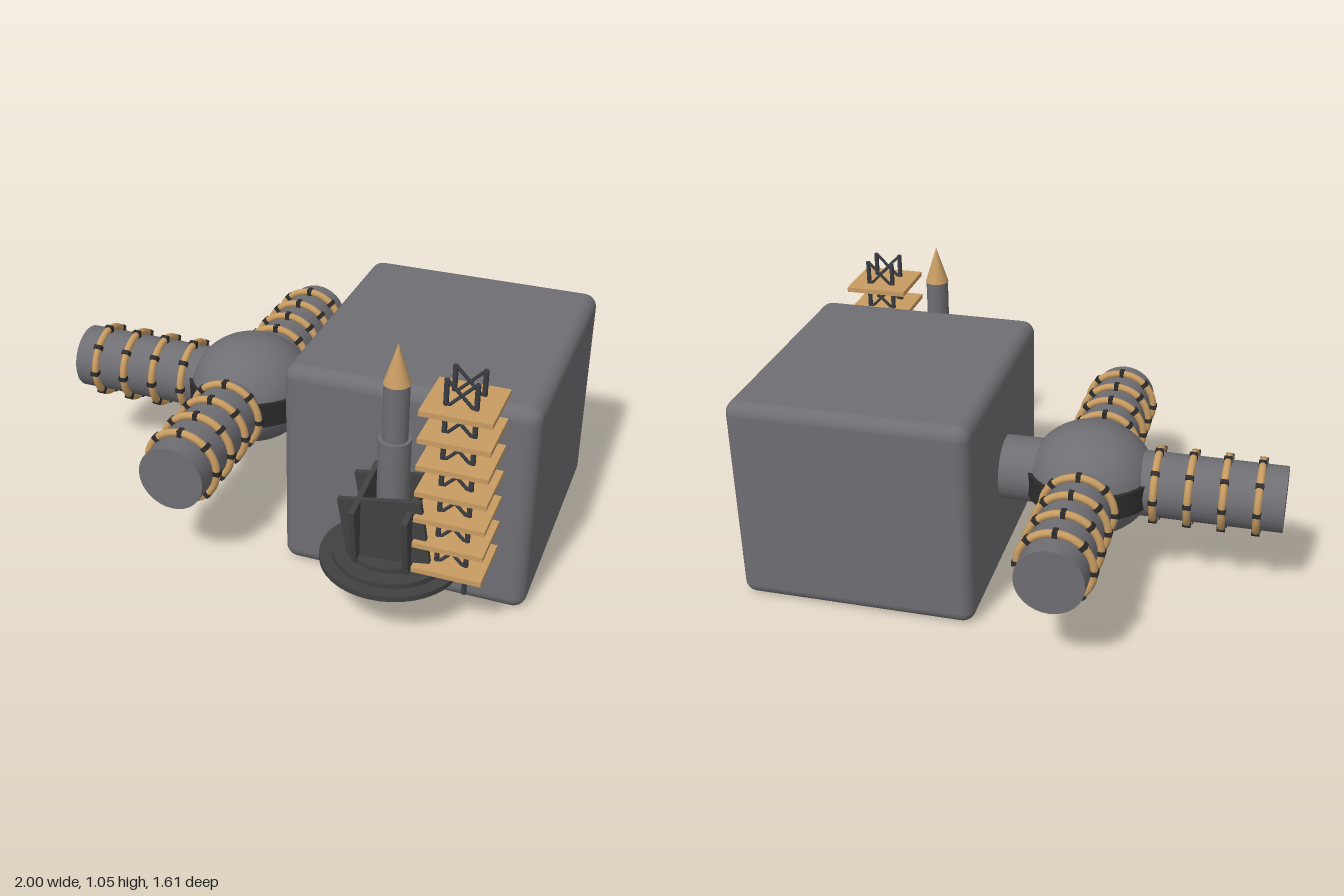
import * as THREE from 'three';
import { RoundedBoxGeometry } from 'three/addons/geometries/RoundedBoxGeometry.js';

function mat(name, color) {
  const m = new THREE.MeshStandardMaterial({ color });
  m.name = name;
  return m;
}

export function createModel() {
  const hullGrey = mat('hull grey', 0x6e6e73);
  const tan = mat('tan', 0xc89c62);
  const darkGrey = mat('dark grey', 0x414141);
  const steel = mat('dark steel', 0x3a3d43);
  const black = mat('near black', 0x2c2c2c);

  const model = new THREE.Group();
  model.name = 'station';

  function add(parent, name, geometry, material, x = 0, y = 0, z = 0) {
    const mesh = new THREE.Mesh(geometry, material);
    mesh.name = name;
    mesh.position.set(x, y, z);
    parent.add(mesh);
    return mesh;
  }
  const cyl = (r, h, sides = 32) => new THREE.CylinderGeometry(r, r, h, sides);

  // Main block
  add(model, 'mainBlock', new RoundedBoxGeometry(0.92, 0.82, 1.02, 5, 0.05), hullGrey, 0.54, 0.41, -0.068);

  // Hub: slightly flattened sphere with a dark belt
  const hub = new THREE.Group();
  hub.name = 'hub';
  hub.position.set(-0.26, 0.41, -0.07);
  model.add(hub);
  add(hub, 'hubSphere', new THREE.SphereGeometry(0.245, 40, 28), hullGrey).scale.y = 0.885;
  add(hub, 'hubBelt', cyl(0.252, 0.1, 40), black);

  // Corridor from the hub into the main block
  add(hub, 'connector', cyl(0.126, 0.4), hullGrey, 0.2).rotation.z = Math.PI / 2;

  // Three corridors, each with four bolted rings; built along +x and turned
  const tubeGeo = cyl(0.126, 0.74).rotateZ(Math.PI / 2).translate(0.37, 0, 0);
  const ringGeo = new THREE.TorusGeometry(0.137, 0.0145, 10, 40).rotateY(Math.PI / 2);
  const boltGeo = new THREE.BoxGeometry(0.031, 0.03, 0.018);
  ['frontCorridor', 'leftoverCorridor', 'backCorridor'].forEach((name, i) => {
    const arm = new THREE.Group();
    arm.name = i === 1 ? 'sideCorridor' : name;
    arm.rotation.y = [-Math.PI / 2, Math.PI, Math.PI / 2][i];
    hub.add(arm);
    add(arm, 'corridorTube', tubeGeo, hullGrey);
    for (let k = 0; k < 4; k++) {
      const x = 0.257 + k * 0.1285;
      add(arm, 'ring', ringGeo, tan, x);
      for (let b = 0; b < 8; b++) {
        const a = (b * Math.PI) / 4;
        add(arm, 'bolt', boltGeo, black, x, Math.cos(a) * 0.137, Math.sin(a) * 0.137).rotation.x = a;
      }
    }
  });

  // Launch pad: three stepped discs
  const pad = new THREE.Group();
  pad.name = 'launchPad';
  pad.position.set(0.535, 0, 0.55);
  model.add(pad);
  [[0.253, 0.197], [0.208, 0.217], [0.15, 0.236]].forEach(([r, y]) => {
    add(pad, 'padStep', cyl(r, 0.02, 40), darkGrey, 0, y + 0.01, 0);
  });

  // Tilted support plates crossing around the rocket
  for (const s of [-1, 1]) {
    add(pad, 'supportPlate', new THREE.BoxGeometry(0.3, 0.24, 0.02), darkGrey, 0, 0.375, s * 0.09)
      .rotation.z = 0.175;
    add(pad, 'supportPlate', new THREE.BoxGeometry(0.02, 0.24, 0.3), darkGrey, s * 0.093, 0.375, 0)
      .rotation.x = 0.175;
  }

  // Rocket
  add(pad, 'rocketLowerStage', cyl(0.057, 0.45), hullGrey, 0, 0.465, 0);
  add(pad, 'rocketUpperStage', cyl(0.045, 0.22), hullGrey, 0, 0.79, 0);
  add(pad, 'rocketNose', new THREE.ConeGeometry(0.047, 0.147, 32), tan, 0, 0.9735, 0);

  // Service tower: poles, cross braces and decks
  const tower = new THREE.Group();
  tower.name = 'serviceTower';
  tower.position.set(0.767, 0, 0.55);
  model.add(tower);
  const half = 0.051, bay = 0.1025;
  const braceGeo = cyl(0.006, Math.hypot(2 * half, bay), 6);
  for (const sz of [-1, 1]) {
    for (const sx of [-1, 1]) {
      add(tower, 'pole', cyl(0.009, 0.824, 10), steel, sx * half, 0.567, sz * half);
      for (let k = 0; k < 7; k++) {
        add(tower, 'crossBrace', braceGeo, steel, 0, 0.26 + (k + 0.5) * bay, sz * half)
          .rotation.z = sx * Math.atan2(2 * half, bay);
      }
    }
  }
  for (let k = 0; k < 7; k++) {
    add(tower, 'deck', new THREE.BoxGeometry(0.245, 0.019, 0.245), tan, 0, 0.26 + k * bay, 0);
  }

  return model;
}
